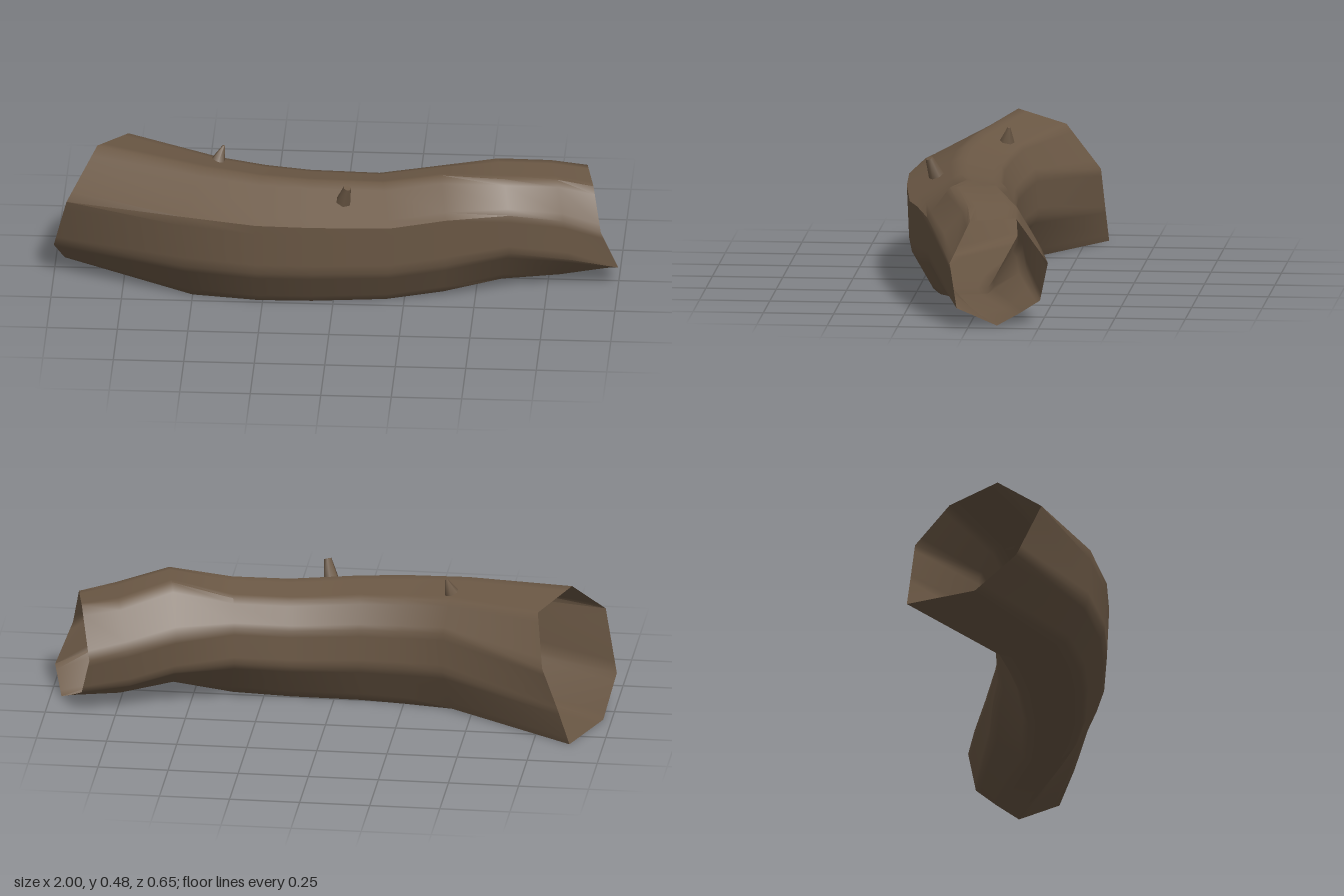
import * as THREE from 'three';
import { toCreasedNormals } from 'three/addons/utils/BufferGeometryUtils.js';

export function createModel() {
  const group = new THREE.Group();
  const bark = new THREE.MeshStandardMaterial({ color: 0x6b5845, side: THREE.DoubleSide });
  bark.name = 'bark brown';

  // Eight-sided section: [fraction across from back to front, fraction of height];
  // the first point, the back edge of the floor, is set per station
  const profile = [[0, 0.38], [0.02, 0.7], [0.16, 0.93], [0.53, 1], [1, 0.77], [0.98, 0.33], [0.78, 0]];
  // Stations along the bend: back x, back z, front x, front z, underside y, top y, floor edge
  const stations = [
    [-0.40, -0.125, -0.53, 0.29, 0, 0.45, 0.2],
    [-0.25, -0.10, -0.27, 0.325, 0, 0.435, 0.2],
    [-0.10, -0.085, -0.07, 0.315, 0, 0.425, 0.22],
    [0.14, -0.10, 0.20, 0.28, 0, 0.41, 0.28],
    [0.34, -0.135, 0.40, 0.235, 0.015, 0.425, 0.33],
  ];
  // Irregular rim at the wide end
  const rightRim = [[-0.88, 0, -0.33], [-0.835, 0.13, -0.32], [-0.78, 0.275, -0.31], [-0.75, 0.44, -0.19],
    [-0.85, 0.475, -0.01], [-0.95, 0.33, 0.155], [-1, 0.12, 0.07], [-0.97, 0, -0.08]];
  // Swelling, neck and rim at the narrow, twisted end
  const swelling = [[0.57, 0.05, -0.03], [0.55, 0.14, -0.165], [0.54, 0.28, -0.18], [0.57, 0.44, -0.06],
    [0.60, 0.435, 0.10], [0.62, 0.33, 0.18], [0.62, 0.18, 0.175], [0.59, 0.04, 0.09]];
  const neck = [[0.75, 0.035, -0.12], [0.70, 0.10, -0.205], [0.71, 0.24, -0.235], [0.75, 0.395, -0.15],
    [0.78, 0.40, 0.02], [0.81, 0.285, 0.12], [0.83, 0.13, 0.11], [0.79, 0.01, -0.02]];
  const leftRim = [[0.915, 0.04, -0.175], [0.87, 0.08, -0.245], [0.84, 0.21, -0.27], [0.88, 0.375, -0.16],
    [0.91, 0.368, 0], [0.94, 0.22, 0.07], [1, 0.07, 0.04], [0.96, 0.003, -0.1]];

  const rings = [
    rightRim,
    ...stations.map(([bx, bz, fx, fz, low, high, edge]) => [[edge, 0], ...profile].map(([t, h]) => [
      bx + (fx - bx) * t, low + (high - low) * h, bz + (fz - bz) * t])),
    swelling, neck, leftRim,
  ];

  // Extra points beside each corner keep the ridges narrow under smooth normals
  const refine = (ring) => ring.flatMap((p, k) => {
    const q = ring[(k + 1) % ring.length];
    return [0, 0.18, 0.82].map((t) => p.map((v, c) => v + (q[c] - v) * t));
  });

  // Hollow trunk skin
  const n = leftRim.length * 3;
  const index = [];
  for (let i = 0; i < rings.length - 1; i++) {
    for (let k = 0; k < n; k++) {
      const a = i * n + k, b = i * n + (k + 1) % n;
      index.push(a, b, b + n, a, b + n, a + n);
    }
  }
  const skin = new THREE.BufferGeometry();
  skin.setAttribute('position', new THREE.Float32BufferAttribute(rings.map(refine).flat(2), 3));
  skin.setIndex(index);
  const trunk = new THREE.Mesh(toCreasedNormals(skin, 1.1), bark);
  trunk.name = 'hollowTrunk';
  group.add(trunk);

  // Short broken twigs on top
  function twig(name, base, tip, baseRadius, tipRadius) {
    const from = new THREE.Vector3(...base), to = new THREE.Vector3(...tip);
    const axis = to.clone().sub(from);
    const mesh = new THREE.Mesh(new THREE.CylinderGeometry(tipRadius, baseRadius, axis.length(), 6), bark);
    mesh.position.copy(from).add(to).multiplyScalar(0.5);
    mesh.quaternion.setFromUnitVectors(new THREE.Vector3(0, 1, 0), axis.normalize());
    mesh.name = name;
    group.add(mesh);
  }
  twig('backTwig', [-0.42, 0.43, -0.01], [-0.402, 0.483, -0.018], 0.026, 0.005);
  twig('frontTwig', [0.035, 0.38, 0.2], [0.05, 0.445, 0.224], 0.028, 0.014);

  return group;
}
